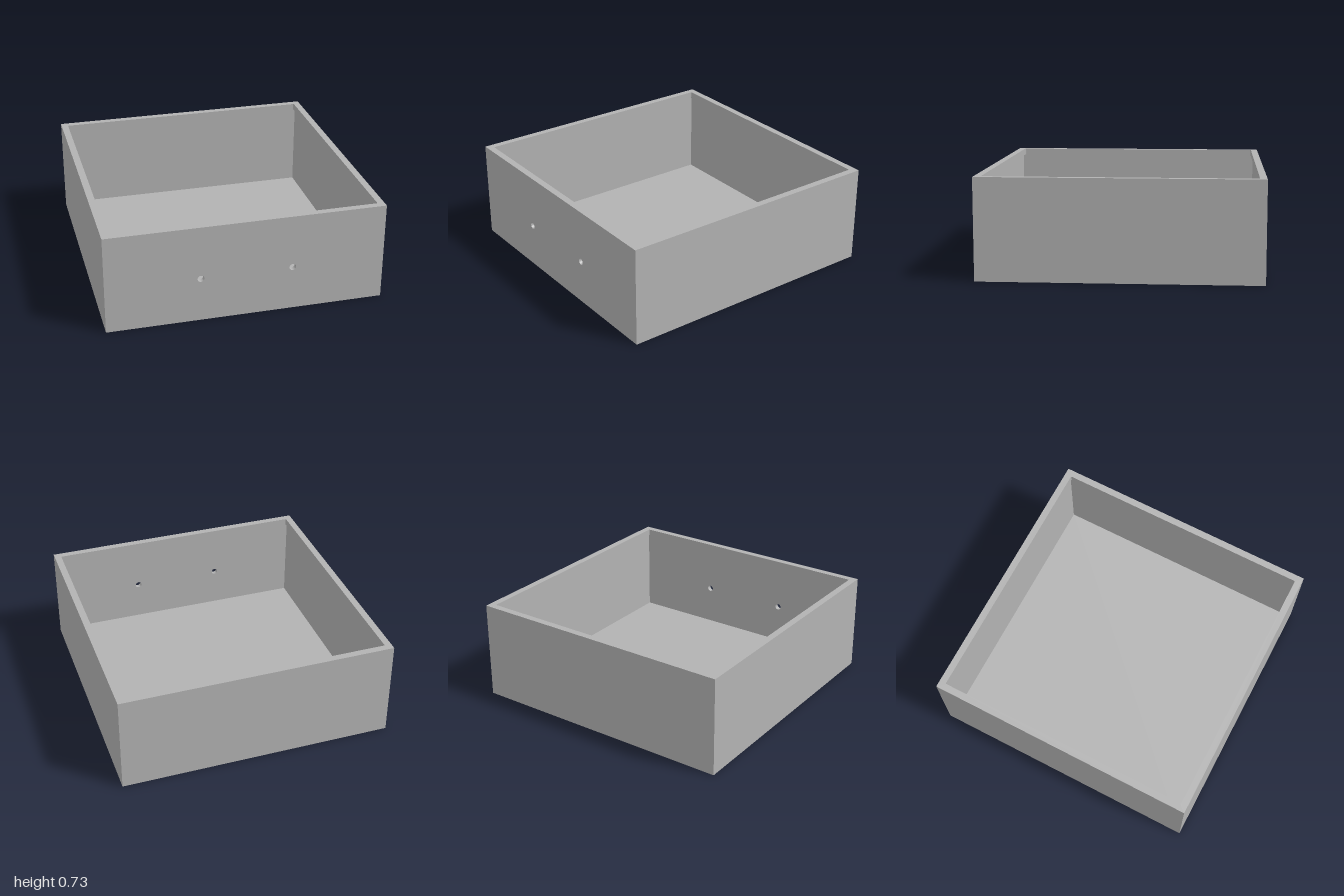
import * as THREE from 'three';

const H = 0.726;      // overall height
const WALL = 0.035;   // wall and floor thickness
const RIM = 0.05;     // rim width, overhanging the walls inward
const RIM_H = 0.05;   // rim height
const HOLE = { x: 0.329, y: 0.33, r: 0.024 };

const grey = new THREE.MeshStandardMaterial({ color: 0xb2b2b2 });
grey.name = 'grey';

function part(name, geometry, x = 0, y = 0, z = 0) {
  const mesh = new THREE.Mesh(geometry, grey);
  mesh.name = name;
  mesh.position.set(x, y, z);
  return mesh;
}

// Square outline with slightly rounded corners
function square(path, h, r) {
  path.moveTo(-h + r, -h);
  path.lineTo(h - r, -h).quadraticCurveTo(h, -h, h, -h + r);
  path.lineTo(h, h - r).quadraticCurveTo(h, h, h - r, h);
  path.lineTo(-h + r, h).quadraticCurveTo(-h, h, -h, h - r);
  path.lineTo(-h, -h + r).quadraticCurveTo(-h, -h, -h + r, -h);
  return path;
}

export function createModel() {
  const box = new THREE.Group();
  box.name = 'openBox';
  const wallH = H - RIM_H;
  const inner = 2 - 2 * WALL;

  // Floor
  box.add(part('floor', new THREE.BoxGeometry(inner, WALL, inner), 0, WALL / 2, 0));

  // Front wall with two round through holes
  const front = new THREE.Shape();
  front.moveTo(-1, 0).lineTo(1, 0).lineTo(1, wallH).lineTo(-1, wallH).closePath();
  for (const side of [-1, 1]) {
    front.holes.push(new THREE.Path().absarc(side * HOLE.x, HOLE.y, HOLE.r, 0, Math.PI * 2, true));
  }
  const frontGeometry = new THREE.ExtrudeGeometry(front, { depth: WALL, bevelEnabled: false, curveSegments: 24 });
  box.add(part('frontWall', frontGeometry, 0, 0, 1 - WALL));

  // Back and side walls
  box.add(part('backWall', new THREE.BoxGeometry(2, wallH, WALL), 0, wallH / 2, -1 + WALL / 2));
  for (const [name, side] of [['leftWall', 1], ['rightWall', -1]]) {
    box.add(part(name, new THREE.BoxGeometry(WALL, wallH, inner), side * (1 - WALL / 2), wallH / 2, 0));
  }

  // Rim around the opening
  const rim = new THREE.Shape();
  rim.moveTo(-1, -1).lineTo(1, -1).lineTo(1, 1).lineTo(-1, 1).closePath();
  rim.holes.push(square(new THREE.Path(), 1 - RIM, 0.008));
  const rimGeometry = new THREE.ExtrudeGeometry(rim, { depth: RIM_H, bevelEnabled: false, curveSegments: 4 });
  rimGeometry.rotateX(-Math.PI / 2);
  box.add(part('rim', rimGeometry, 0, wallH, 0));

  return box;
}
